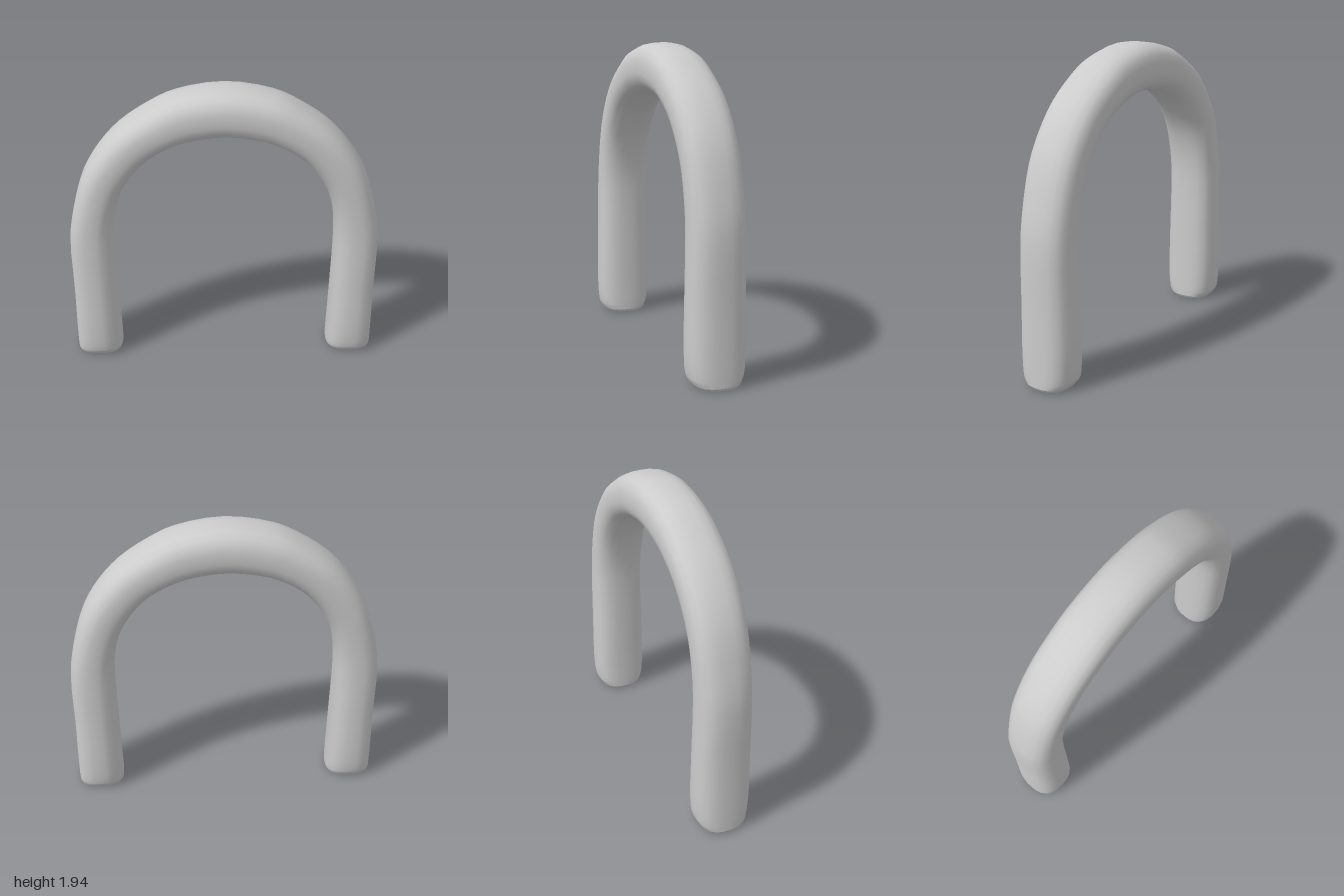
import * as THREE from 'three';

// Half of the arch, foot to crown: outer x, outer y, inner x, inner y, half depth
const STATIONS = [
  [1.0, 0.02, 0.70, 0.02, 0.142],
  [1.0, 0.055, 0.70, 0.055, 0.16],
  [0.998, 0.2, 0.703, 0.2, 0.172],
  [0.992, 0.5, 0.707, 0.5, 0.17],
  [0.987, 0.91, 0.708, 0.9, 0.165],
  [0.95, 1.12, 0.69, 1.08, 0.166],
  [0.875, 1.365, 0.645, 1.24, 0.168],
  [0.775, 1.535, 0.57, 1.37, 0.17],
  [0.64, 1.685, 0.455, 1.495, 0.172],
  [0.455, 1.815, 0.285, 1.59, 0.173],
  [0.3, 1.89, 0.17, 1.62, 0.173],
  [0, 1.94, 0, 1.638, 0.173],
];
const SIDES = 24;
const STEPS = 64;
const POWER = 2.8;

// Rounded-square ring spanning an outer and an inner point
function ring(outer, inner, depth) {
  const points = [];
  for (let i = 0; i < SIDES; i++) {
    const a = (i / SIDES) * Math.PI * 2;
    const c = Math.cos(a), s = Math.sin(a);
    const k = Math.pow(Math.abs(c) ** POWER + Math.abs(s) ** POWER, -1 / POWER);
    const p = inner.clone().lerp(outer, 0.5 + 0.5 * c * k);
    p.z = s * k * depth;
    points.push(p);
  }
  return points;
}

function meshGeometry(points, index) {
  const geometry = new THREE.BufferGeometry().setFromPoints(points);
  geometry.setIndex(index);
  geometry.computeVertexNormals();
  return geometry;
}

export function createModel() {
  const group = new THREE.Group();
  group.name = 'arch';
  const material = new THREE.MeshStandardMaterial({ color: 0xcccccc });

  // Mirror the stations and run smooth curves through the two edges
  const mirrored = STATIONS.slice(0, -1).reverse().map(([ox, oy, ix, iy, d]) => [-ox, oy, -ix, iy, d]);
  const all = [...STATIONS, ...mirrored];
  const outerCurve = new THREE.CatmullRomCurve3(all.map(s => new THREE.Vector3(s[0], s[1], s[4])), false, 'centripetal');
  const innerCurve = new THREE.CatmullRomCurve3(all.map(s => new THREE.Vector3(s[2], s[3], 0)), false, 'centripetal');

  // Swept arch body
  const spans = all.length - 1;
  const count = Math.round(STEPS / spans) * spans;
  const rings = [];
  for (let j = 0; j <= count; j++) {
    const outer = outerCurve.getPoint(j / count);
    const depth = outer.z;
    outer.z = 0;
    rings.push(ring(outer, innerCurve.getPoint(j / count), depth));
  }
  const index = [];
  for (let j = 0; j < count; j++) {
    for (let i = 0; i < SIDES; i++) {
      const n = (i + 1) % SIDES;
      const a = j * SIDES + i, b = j * SIDES + n;
      const c = a + SIDES, d = b + SIDES;
      index.push(a, c, b, b, c, d);
    }
  }
  const body = new THREE.Mesh(meshGeometry(rings.flat(), index), material);
  body.name = 'archBody';
  group.add(body);

  // Bevelled soles closing both feet
  for (const side of [1, -1]) {
    const top = ring(new THREE.Vector3(1, 0.02, 0), new THREE.Vector3(0.7, 0.02, 0), 0.142);
    const low = ring(new THREE.Vector3(0.99, 0.004, 0), new THREE.Vector3(0.71, 0.004, 0), 0.128);
    const centre = new THREE.Vector3(0.85, 0, 0);
    const points = [...top, ...low, centre];
    points.forEach(p => { p.x *= side; });
    const faces = [];
    for (let i = 0; i < SIDES; i++) {
      const n = (i + 1) % SIDES;
      const tris = [[i, n, SIDES + i], [n, SIDES + n, SIDES + i], [SIDES + i, SIDES + n, 2 * SIDES]];
      for (const [a, b, c] of tris) faces.push(...(side > 0 ? [a, b, c] : [a, c, b]));
    }
    const flat = meshGeometry(points, faces).toNonIndexed();
    flat.computeVertexNormals();
    const sole = new THREE.Mesh(flat, material);
    sole.name = side > 0 ? 'leftSole' : 'rightSole';
    group.add(sole);
  }
  return group;
}
